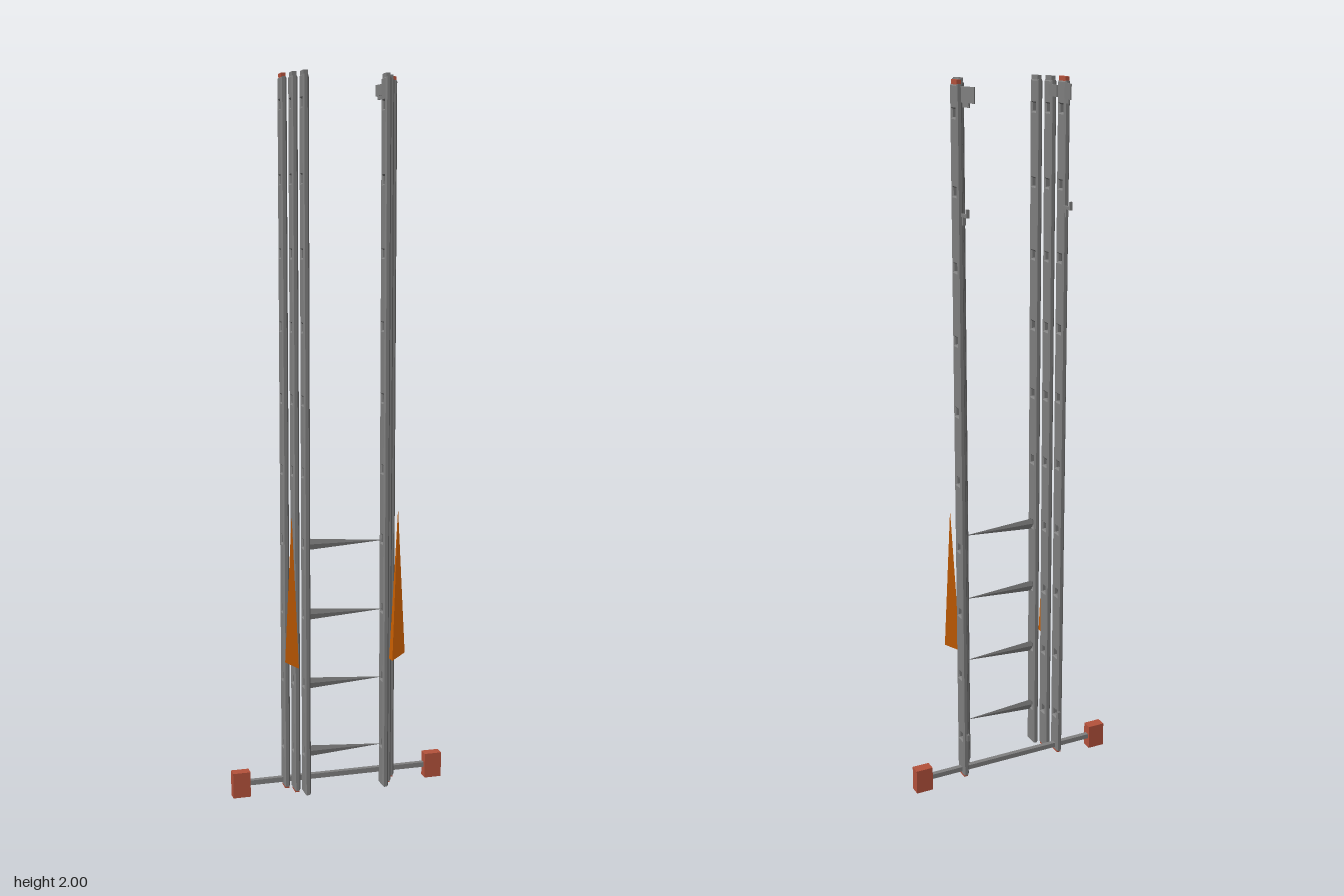
import * as THREE from 'three';
import { ConvexGeometry } from 'three/addons/geometries/ConvexGeometry.js';

const mat = (name, color) => {
  const m = new THREE.MeshStandardMaterial({ color });
  m.name = name;
  return m;
};

export function createModel() {
  const grey = mat('aluminium grey', 0x808080);
  const red = mat('brick red', 0xb5523c);
  const orange = mat('orange', 0xcc6000);
  const model = new THREE.Group();
  model.name = 'extensionLadder';

  const add = (name, geometry, material, parent = model) => {
    const mesh = new THREE.Mesh(geometry, material);
    mesh.name = name;
    parent.add(mesh);
    return mesh;
  };
  const box = (name, size, pos, material, parent) => {
    const mesh = add(name, new THREE.BoxGeometry(...size), material, parent);
    mesh.position.set(...pos);
    return mesh;
  };
  // Upright plate between two points of the plan
  const plate = (name, [x1, z1], [x2, z2], y, height, parent) => {
    const length = Math.hypot(x2 - x1, z2 - z1);
    const mesh = box(name, [0.004, height, length], [(x1 + x2) / 2, y, (z1 + z2) / 2], grey, parent);
    mesh.rotation.y = Math.atan2(x2 - x1, z2 - z1);
  };

  // Rail with ten rung holes, extruded across its thickness with chamfered edges
  const half = 0.0205;
  const side = new THREE.Shape();
  side.moveTo(-half, 0.02).lineTo(half, 0.02).lineTo(half, 1.99).lineTo(-half, 1.99).closePath();
  for (let i = 0; i < 10; i++) {
    const y = 0.145 + i * 0.197, h = 0.0105;
    const hole = new THREE.Path();
    hole.moveTo(-h, y - h).lineTo(-h, y + h).lineTo(h, y + h).lineTo(h, y - h).closePath();
    side.holes.push(hole);
  }
  const railGeometry = new THREE.ExtrudeGeometry(side, {
    depth: 0.009, bevelEnabled: true, bevelSegments: 1,
    bevelSize: 0.004, bevelThickness: 0.004, bevelOffset: -0.004,
  });
  railGeometry.translate(0, 0, -0.0045);
  railGeometry.rotateY(Math.PI / 2);

  // Three nested sections, widening towards the back
  const sections = [['front', 0.1135, 0.0615], ['middle', 0.134, 0.0225], ['back', 0.1545, -0.0145]];
  for (const s of [-1, 1]) {
    const assembly = new THREE.Group();
    assembly.name = s > 0 ? 'leftRails' : 'rightRails';
    assembly.position.x = -0.0025;
    model.add(assembly);
    for (const [name, x, z] of sections) {
      add(name + 'Rail', railGeometry, grey, assembly).position.set(s * x, 0, z);
      const capMaterial = name === 'back' ? red : grey;
      box(name + 'TopCap', [0.012, 0.014, 0.034], [s * x, 1.993, z], capMaterial, assembly);
      if (name !== 'front') box(name + 'BottomCap', [0.012, 0.014, 0.034], [s * x, 0.022, z], red, assembly);
    }

    // Guide brackets at the top
    plate('backGuide', [s * 0.136, -0.085], [s * 0.15, -0.028], 1.965, 0.04, assembly);
    plate('backGuideEar', [s * 0.141, -0.065], [s * 0.147, -0.04], 1.94, 0.012, assembly);
    plate('middleGuide', [s * 0.118, -0.045], [s * 0.128, 0.02], 1.965, 0.03, assembly);

    // Rung hooks
    box('hookArm', [0.008, 0.008, 0.036], [s * 0.15, 1.664, -0.052], grey, assembly);
    box('hookTip', [0.008, 0.022, 0.006], [s * 0.15, 1.671, -0.067], grey, assembly);
    box('hookLeg', [0.008, 0.026, 0.006], [s * 0.15, 1.652, -0.046], grey, assembly);
    box('lowerHook', [0.008, 0.02, 0.01], [s * 0.15, 0.145, -0.036], grey, assembly);

    // Tapered side flap
    const points = [[0.134, 0.385, 0.046], [0.174, 0.405, 0.065], [0.136, 0.385, 0.07], [0.153, 0.82, 0.062]]
      .map(([x, y, z]) => new THREE.Vector3(s * x, y, z));
    add('sideFlap', new ConvexGeometry(points), orange, assembly);

    // Stabiliser foot
    box('foot', [0.05, 0.072, 0.03], [s * 0.2855 - 0.0025, 0.036, -0.015], red);
  }

  // Tapered lower rungs
  const rungGeometry = new THREE.ConeGeometry(0.016, 0.22, 4).toNonIndexed();
  rungGeometry.rotateZ(-Math.PI / 2);
  rungGeometry.scale(1, 1, 0.2);
  rungGeometry.computeVertexNormals();
  for (let i = 0; i < 4; i++) {
    add('rung', rungGeometry, grey).position.set(-0.002, 0.143 + i * 0.197, 0.064);
  }

  // Stabiliser bar
  box('stabiliserBar', [0.54, 0.014, 0.014], [-0.0025, 0.037, -0.016], grey);
  return model;
}
